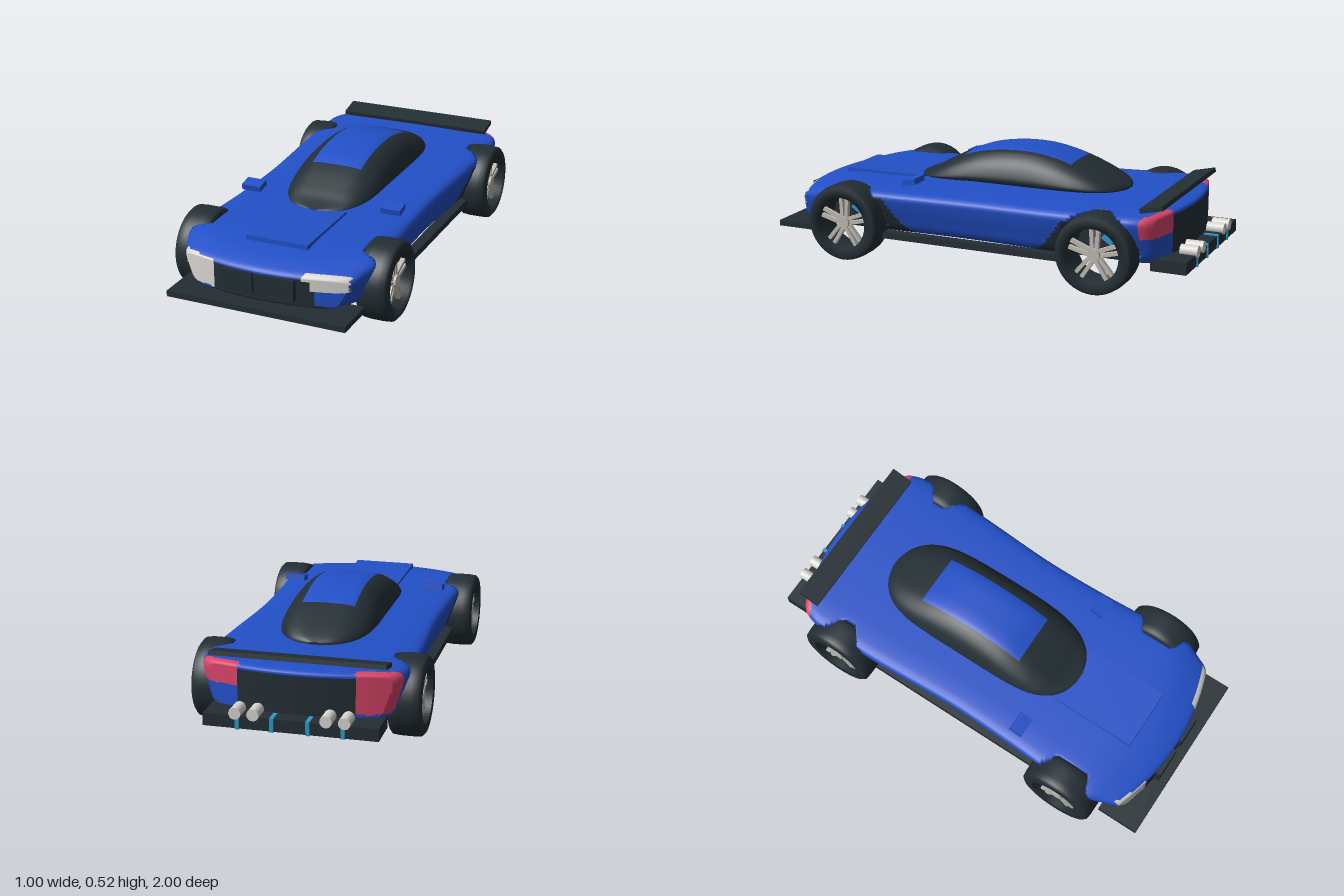
import * as THREE from 'three';

const mat = (name, color, side = THREE.FrontSide) => Object.assign(new THREE.MeshStandardMaterial({ color, side }), { name });
const paint = mat('blue paint', 0x2250c8);
const dark = mat('dark rubber and glass', 0x232e34, THREE.DoubleSide);
const light = mat('light lamp', 0xd8d5d0);
const silver = mat('silver metal', 0xbfbab3);
const red = mat('red lamp', 0xd84468);
const cyan = mat('cyan accent', 0x2a9cc8);
const WHEEL_Z = 0.612, WHEEL_R = 0.176;

// Smooth half outline, mirrored into a closed ring of [x, v] (bottom, +x side, top, -x side)
function ring(points, n) {
  const curve = new THREE.CatmullRomCurve3(points.map(([x, v]) => new THREE.Vector3(x, v, 0)));
  const half = curve.getSpacedPoints(n).map(p => [p.x, p.y]);
  return [...half, ...half.slice(1, -1).reverse().map(([x, v]) => [-x, v])];
}

// Skin over rows of {z, w, lo, hi}; both ends close onto a line. pick(centre) chooses the material index.
function loft(name, rows, outline, mats, pick, shape = () => {}) {
  const N = outline.length, pos = [], CAP = 14;
  const addRing = (r, k) => {
    for (const [x, v] of outline) {
      const p = new THREE.Vector3(x * r.w, r.lo + (r.hi - r.lo) * (0.6 + (v - 0.6) * k), r.z);
      shape(p);
      pos.push(p.x, p.y, p.z);
    }
  };
  for (let i = 0; i < CAP; i++) addRing(rows[0], i / CAP);
  rows.forEach(r => addRing(r, 1));
  for (let i = CAP - 1; i >= 0; i--) addRing(rows[rows.length - 1], i / CAP);
  const sets = mats.map(() => []), total = pos.length / 3 / N;
  for (let i = 0; i < total - 1; i++) {
    for (let j = 0; j < N; j++) {
      const q = [i * N + j, i * N + (j + 1) % N, (i + 1) * N + (j + 1) % N, (i + 1) * N + j];
      const c = new THREE.Vector3();
      q.forEach(k => c.add(new THREE.Vector3(pos[3 * k], pos[3 * k + 1], pos[3 * k + 2]).divideScalar(4)));
      sets[pick(c)].push(q[0], q[1], q[2], q[0], q[2], q[3]);
    }
  }
  const geo = new THREE.BufferGeometry();
  geo.setAttribute('position', new THREE.Float32BufferAttribute(pos, 3));
  geo.setIndex(sets.flat());
  let start = 0;
  sets.forEach((s, m) => { geo.addGroup(start, s.length, m); start += s.length; });
  geo.computeVertexNormals();
  const mesh = new THREE.Mesh(geo, mats);
  mesh.name = name;
  return mesh;
}

// Body shell with lamps, grille surround, rear panel and floor
function makeBody() {
  const stations = [[-0.92, 0.40, 0.342], [-0.905, 0.425, 0.35], [-0.84, 0.445, 0.355], [-0.6, 0.45, 0.352],
    [-0.4, 0.445, 0.346], [0, 0.425, 0.338], [0.3, 0.43, 0.335], [0.5, 0.44, 0.335], [0.7, 0.45, 0.332],
    [0.82, 0.442, 0.318], [0.9, 0.415, 0.298], [0.94, 0.395, 0.282], [0.95, 0.38, 0.272]];
  const curve = new THREE.CatmullRomCurve3(stations.map(s => new THREE.Vector3(...s)));
  const rows = curve.getSpacedPoints(150).map(p => ({
    z: p.x, w: p.y, hi: p.z, lo: 0.128 + 0.015 * THREE.MathUtils.smoothstep(Math.abs(p.x), 0.86, 0.94),
  }));
  const outline = ring([[0, 0], [0.45, 0], [0.78, 0], [0.87, 0.08], [0.94, 0.4], [0.985, 0.72], [0.99, 0.84],
    [0.95, 0.93], [0.82, 0.97], [0.5, 0.99], [0, 1]], 56);
  const bend = x => 0.07 * (x / 0.38) ** 2;
  const shape = p => {
    p.z -= Math.sign(p.z) * bend(p.x) * THREE.MathUtils.smoothstep(Math.abs(p.z), 0.65, 0.92);
    // hollow the wheel arches
    if (Math.hypot(Math.abs(p.z) - WHEEL_Z, p.y - WHEEL_R) < 0.172) p.x = THREE.MathUtils.clamp(p.x, -0.355, 0.355);
  };
  const pick = ({ x, y, z }) => {
    const ax = Math.abs(x), d = WHEEL_Z - Math.abs(z);
    if (z > 0.925 - bend(x)) {
      if (x < -0.225 && x > -0.385 && y > 0.15 && y < 0.278) return 2;
      if (x < 0.38 && ((x > 0.23 && y > 0.217) || (x > 0.19 && y > 0.257))) return 2;
      if (ax < 0.235 && y < 0.262) return 1;
      return y < 0.15 && x > 0 ? 1 : 0;
    }
    if (z < -0.885 + bend(x)) {
      if (x > 0.25 && y > 0.25) return 3;
      if (x < -0.25 && y > 0.17) return 3;
      if (ax < 0.25 && y < 0.33) return 1;
    }
    if (y < 0.136) return x < -0.3 && Math.abs(z) < 0.5 ? 0 : 1;
    if (ax > 0.25 && Math.hypot(d, y - WHEEL_R) < 0.176 && y < 0.31) return 1;
    if (ax > 0.3 && d > 0 && d < 0.36 && y < 0.13 + 0.17 * ((0.36 - d) / 0.19) ** 2 && y < 0.3) return 1;
    return 0;
  };
  return loft('body', rows, outline, [paint, dark, light, red], pick, shape);
}

// Glass cabin with a painted roof panel
function makeCabin() {
  const roof = new THREE.SplineCurve([[0.42, 0.348], [0.36, 0.372], [0.3, 0.405], [0.2, 0.455], [0.1, 0.492],
    [0, 0.511], [-0.1, 0.518], [-0.2, 0.513], [-0.3, 0.493], [-0.4, 0.46], [-0.5, 0.42], [-0.57, 0.388], [-0.6, 0.37],
  ].map(p => new THREE.Vector2(...p)));
  const rows = roof.getSpacedPoints(100).reverse().map(p => {
    const u = Math.min(1, Math.abs((p.x + 0.09) / 0.512));
    return { z: p.x, w: 0.215 * Math.sqrt(1 - u ** 4.5), hi: p.y, lo: p.x > 0.1 ? 0.358 - 0.05 * (p.x - 0.1) : 0.358 };
  });
  const outline = ring([[0, 0], [0.5, 0], [0.86, 0], [0.97, 0.05], [1, 0.13], [0.97, 0.32], [0.87, 0.6],
    [0.74, 0.79], [0.56, 0.94], [0.35, 0.99], [0, 1]], 40);
  const inRange = z => z > -0.36 && z < 0.165;
  const shape = p => {
    if (inRange(p.z) && p.y > 0.4 && Math.abs(Math.abs(p.x) - 0.12) < 0.006) p.x = 0.12 * Math.sign(p.x);
  };
  return loft('cabin', rows, outline, [dark, paint], c => (inRange(c.z) && c.y > 0.42 && Math.abs(c.x) < 0.12 ? 1 : 0), shape);
}

function box(name, material, w, h, d, x, y, z, rx = 0) {
  const m = new THREE.Mesh(new THREE.BoxGeometry(w, h, d), material);
  m.name = name;
  m.position.set(x, y, z);
  m.rotation.x = rx;
  return m;
}

// Tyre, five double spokes, hub and brake caliper; outer face towards side
function makeWheel(side, z) {
  const wheel = new THREE.Group();
  wheel.name = 'wheel';
  const profile = [[0.12, -0.07], [0.162, -0.07], [0.174, -0.06], [0.177, -0.03], [0.177, 0.03], [0.174, 0.06],
    [0.162, 0.07], [0.12, 0.07], [0.12, -0.07]].map(p => new THREE.Vector2(...p));
  const tyre = new THREE.Mesh(new THREE.LatheGeometry(profile, 48), dark);
  tyre.name = 'tyre';
  tyre.rotation.z = -Math.PI / 2;
  const hub = new THREE.Mesh(new THREE.CylinderGeometry(0.028, 0.028, 0.04, 20), silver);
  hub.name = 'hub';
  hub.rotation.z = -Math.PI / 2;
  hub.position.x = side * 0.035;
  wheel.add(tyre, hub);
  for (let i = 0; i < 5; i++) {
    const pair = new THREE.Group();
    pair.name = 'spokePair';
    pair.rotation.x = i * Math.PI * 2 / 5;
    for (const s of [-1, 1]) pair.add(box('spoke', silver, 0.02, 0.105, 0.017, side * 0.035, 0.07, s * 0.013, s * 0.06));
    wheel.add(pair);
  }
  wheel.add(box('brakeCaliper', cyan, 0.03, 0.055, 0.055, -side * 0.02, 0.07, -0.05, -0.6));
  wheel.position.set(side * 0.43, WHEEL_R, z);
  return wheel;
}

export function createModel() {
  const car = new THREE.Group();
  car.name = 'sportsCar';
  car.add(makeBody(), makeCabin());
  car.add(box('hoodPanel', paint, 0.29, 0.022, 0.4, 0, 0.335, 0.58));
  car.add(box('frontSplitter', dark, 0.83, 0.026, 0.2, 0, 0.113, 0.9));
  car.add(box('rearWing', dark, 0.76, 0.02, 0.105, 0, 0.374, -0.83, 0.22));
  car.add(box('rearDiffuser', dark, 0.75, 0.055, 0.16, 0, 0.132, -0.91));
  for (const s of [-1, 1]) {
    car.add(box('sideSkirt', dark, 0.05, 0.03, 0.96, s * 0.392, 0.12, 0));
    car.add(box('grille', dark, 0.14, 0.094, 0.035, s * 0.095, 0.217, 0.946));
    car.add(box('mirror', paint, 0.092, 0.026, 0.065, s * 0.341, 0.373, 0.322, 0.2));
    for (const z of [WHEEL_Z, -WHEEL_Z]) car.add(makeWheel(s, z));
    // exhaust pipes and diffuser fins
    for (const x of [0.155, 0.233]) {
      const pipe = new THREE.Mesh(new THREE.CylinderGeometry(0.026, 0.026, 0.08, 20), light);
      pipe.name = 'exhaustPipe';
      pipe.rotation.x = Math.PI / 2;
      pipe.position.set(s * x, 0.172, -0.96);
      car.add(pipe);
    }
    for (const x of [0.077, 0.225]) car.add(box('diffuserFin', cyan, 0.017, 0.062, 0.066, s * x, 0.133, -0.962));
  }
  return car;
}
